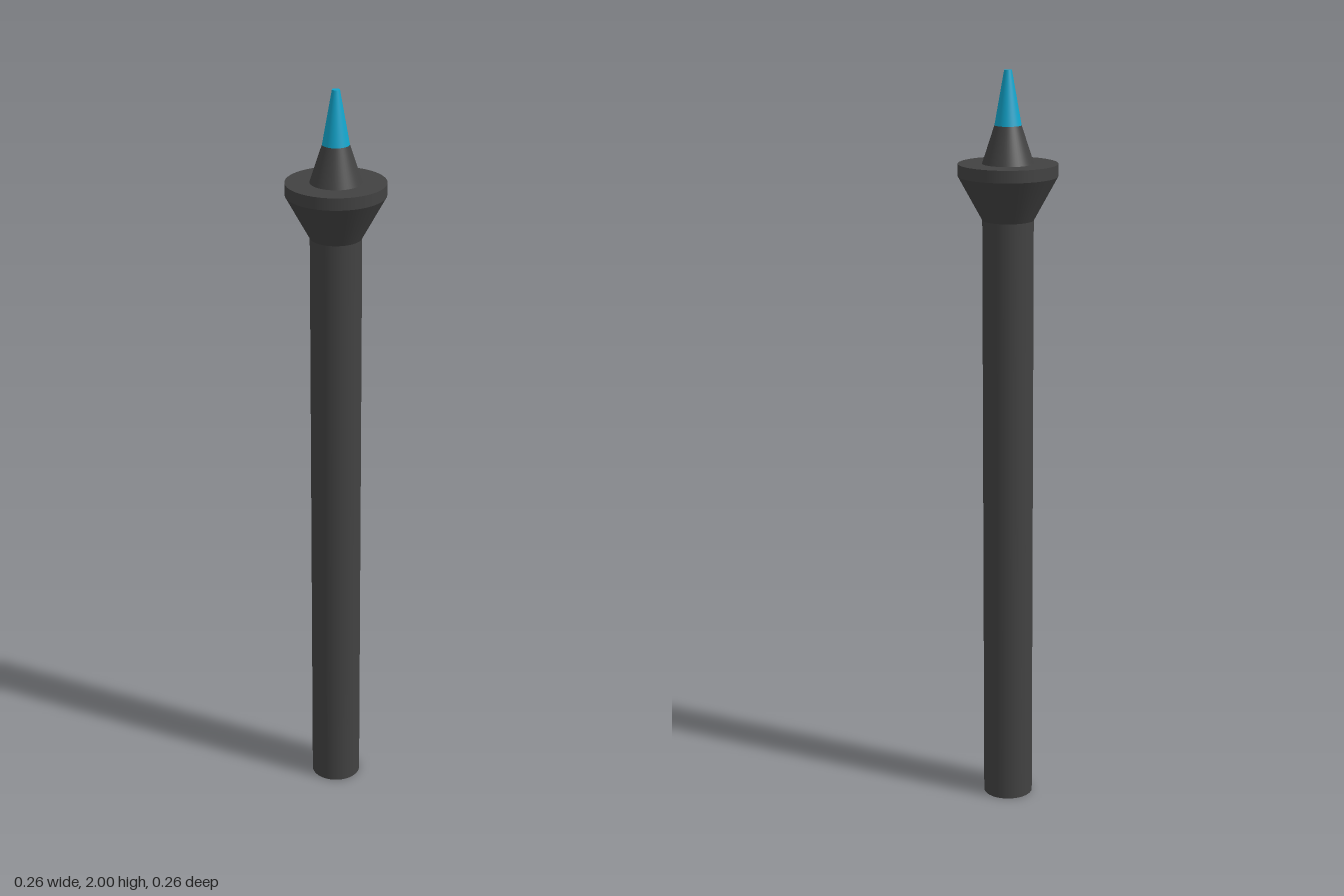
import * as THREE from 'three';

export function createModel() {
  const model = new THREE.Group();
  const charcoal = new THREE.MeshStandardMaterial({ color: 0x424242 });
  charcoal.name = 'charcoal';
  const cyan = new THREE.MeshStandardMaterial({ color: 0x12a5cc });
  cyan.name = 'cyan';

  // Round section from y0 to y1, closed at both ends
  function section(name, r0, r1, y0, y1, material) {
    const geometry = new THREE.CylinderGeometry(r1, r0, y1 - y0, 48);
    const mesh = new THREE.Mesh(geometry, material);
    mesh.name = name;
    mesh.position.y = (y0 + y1) / 2;
    model.add(mesh);
  }

  section('shaft', 0.067, 0.067, 0, 1.615, charcoal);
  section('collarFlare', 0.067, 0.13, 1.615, 1.73, charcoal);
  section('collarRim', 0.13, 0.13, 1.73, 1.762, charcoal);
  section('noseCone', 0.067, 0.035, 1.762, 1.86, charcoal);
  section('tip', 0.035, 0.01, 1.86, 2, cyan);

  return model;
}
